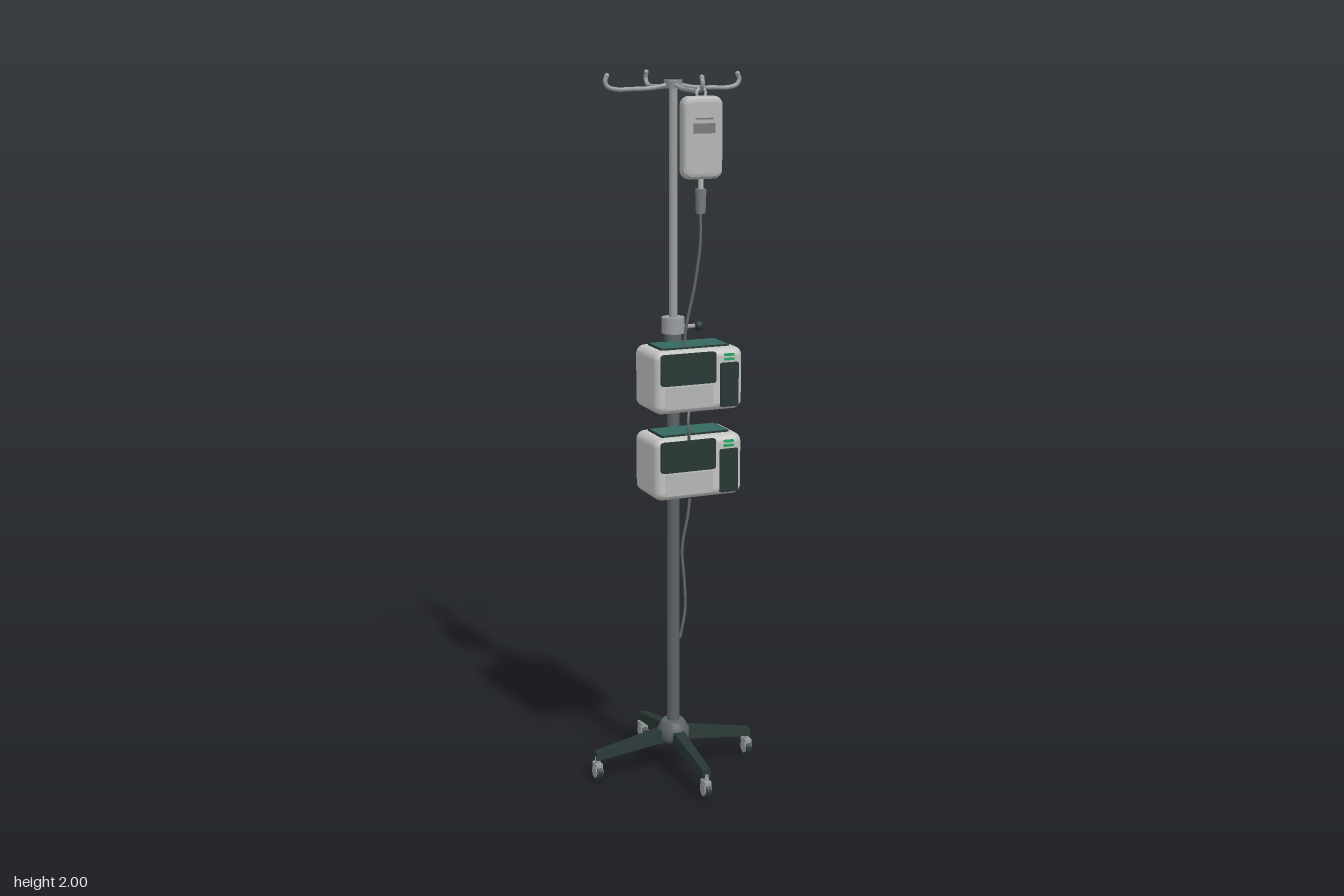
import * as THREE from 'three';
import { RoundedBoxGeometry } from 'three/addons/geometries/RoundedBoxGeometry.js';

const mat = (name, color, side = THREE.FrontSide) => {
  const m = new THREE.MeshStandardMaterial({ color, side });
  m.name = name;
  return m;
};

export function createModel() {
  const steel = mat('brushed steel', 0x9a9d9f);
  const poleGrey = mat('dark pole grey', 0x5c6265);
  const shell = mat('light casing', 0xc2c4c2);
  const bagGrey = mat('bag plastic', 0xb4b5b5);
  const dark = mat('dark plastic', 0x273634);
  const teal = mat('teal panel', 0x35695f);
  const green = mat('green light', 0x25a566);
  const labelGrey = mat('label grey', 0x777a7b);
  const hose = mat('hose grey', 0x66696a);

  const root = new THREE.Group();
  root.name = 'infusionStand';

  const add = (parent, name, geo, material, x = 0, y = 0, z = 0) => {
    const m = new THREE.Mesh(geo, material);
    m.name = name;
    m.position.set(x, y, z);
    parent.add(m);
    return m;
  };
  const group = (name, parent = root) => {
    const g = new THREE.Group();
    g.name = name;
    parent.add(g);
    return g;
  };
  const box = (w, h, d) => new THREE.BoxGeometry(w, h, d);
  const cyl = (r1, r2, h, n = 24) => new THREE.CylinderGeometry(r1, r2, h, n);
  const rbox = (w, h, d, r) => new RoundedBoxGeometry(w, h, d, 4, r);
  const tube = (pts, r, n = 40) => new THREE.TubeGeometry(
    new THREE.CatmullRomCurve3(pts.map(p => new THREE.Vector3(...p))), n, r, 10);

  // Thin plate with rounded corners, facing +z
  const plate = (w, h, r, t = 0.006) => {
    const s = new THREE.Shape(), a = w / 2, b = h / 2;
    s.moveTo(-a + r, -b);
    s.lineTo(a - r, -b); s.quadraticCurveTo(a, -b, a, -b + r);
    s.lineTo(a, b - r); s.quadraticCurveTo(a, b, a - r, b);
    s.lineTo(-a + r, b); s.quadraticCurveTo(-a, b, -a, b - r);
    s.lineTo(-a, -b + r); s.quadraticCurveTo(-a, -b, -a + r, -b);
    return t ? new THREE.ExtrudeGeometry(s, { depth: t, bevelEnabled: false, curveSegments: 5 }) : s;
  };

  // Telescopic pole with locking collar and knob
  add(root, 'lowerPole', cyl(0.018, 0.018, 1.17), poleGrey, 0, 0.705, 0);
  add(root, 'upperPole', cyl(0.0115, 0.0115, 0.69), steel, 0, 1.625, 0);
  add(root, 'collar', cyl(0.032, 0.032, 0.045), steel, 0, 1.312, 0);
  add(root, 'collarBase', cyl(0.024, 0.024, 0.02), poleGrey, 0, 1.28, 0);
  add(root, 'knobStem', cyl(0.006, 0.006, 0.05, 12), steel, 0.05, 1.305, 0).rotation.z = Math.PI / 2;
  add(root, 'knob', new THREE.SphereGeometry(0.014, 16, 12), dark, 0.077, 1.305, 0);

  // Four hanging hooks on a small hub
  add(root, 'hookHub', cyl(0.026, 0.02, 0.022), steel, 0, 1.968, 0);
  const hookPts = [[0.01, 1.968, 0], [0.06, 1.959, 0], [0.12, 1.957, 0], [0.165, 1.957, 0],
    [0.188, 1.964, 0], [0.196, 1.978, 0], [0.191, 1.993, 0]];
  for (let i = 0; i < 4; i++) {
    const h = group('hook');
    add(h, 'hookArm', tube(hookPts, 0.006), steel);
    add(h, 'hookTip', new THREE.SphereGeometry(0.007, 12, 8), steel, 0.191, 1.993, 0);
    h.rotation.y = i * Math.PI / 2;
  }

  // Wheeled base
  const hubProfile = [[0, 0.085], [0.034, 0.085], [0.046, 0.098], [0.046, 0.122], [0.036, 0.142], [0.03, 0.15], [0, 0.15]]
    .map(p => new THREE.Vector2(...p));
  add(root, 'baseHub', new THREE.LatheGeometry(hubProfile, 28), poleGrey);
  for (let i = 0; i < 4; i++) {
    const leg = group('leg');
    leg.rotation.y = i * Math.PI / 2;
    const g = box(1, 1, 1), p = g.attributes.position;
    // Taper and slope the leg outwards, with a narrower top
    for (let k = 0; k < p.count; k++) {
      const t = p.getX(k) + 0.5, up = p.getY(k) > 0;
      const w = THREE.MathUtils.lerp(0.042, 0.028, t) * (up ? 0.8 : 1);
      p.setXYZ(k, 0.025 + 0.217 * t,
        THREE.MathUtils.lerp(up ? 0.127 : 0.09, up ? 0.085 : 0.062, t), p.getZ(k) * w);
    }
    g.computeVertexNormals();
    add(leg, 'legBeam', g, dark);

    const a = i * Math.PI / 2, caster = group('caster');
    caster.position.set(Math.cos(a) * 0.236, 0, -Math.sin(a) * 0.236);
    add(caster, 'casterStem', cyl(0.008, 0.008, 0.03, 12), steel, 0, 0.057, 0);
    add(caster, 'casterFork', box(0.02, 0.012, 0.034), steel, 0, 0.046, 0);
    add(caster, 'tyre', cyl(0.024, 0.024, 0.016), dark, 0, 0.024, 0).rotation.z = Math.PI / 2;
    add(caster, 'wheelCap', cyl(0.018, 0.018, 0.022), steel, 0, 0.026, 0).rotation.z = Math.PI / 2;
  }

  // Two identical pumps clamped to the pole
  for (const y of [1.187, 0.947]) {
    const pump = group('pump');
    pump.position.y = y;
    add(pump, 'casing', rbox(0.258, 0.172, 0.162, 0.024), shell, 0, 0, 0.107);
    const rim = add(pump, 'topRim', plate(0.202, 0.1, 0.008, 0.006), dark, 0, 0.084, 0.106);
    const top = add(pump, 'topPanel', plate(0.192, 0.09, 0.006, 0.004), teal, 0, 0.0875, 0.106);
    rim.rotation.x = top.rotation.x = -Math.PI / 2;
    add(pump, 'screen', plate(0.162, 0.086, 0.01), dark, -0.035, 0.037, 0.186);
    add(pump, 'doorPanel', plate(0.142, 0.06, 0.006, 0.004), bagGrey, -0.033, -0.041, 0.186);
    add(pump, 'keypad', plate(0.054, 0.122, 0.006), dark, 0.085, -0.014, 0.186);
    for (const ly of [0.068, 0.056])
      add(pump, 'statusLight', plate(0.03, 0.007, 0.003, 0.005), green, 0.085, ly, 0.186);
    add(pump, 'clamp', rbox(0.07, 0.068, 0.062, 0.01), poleGrey, 0, 0.007, -0.004);
  }

  // Fluid bag with label, hanging loop and drip chamber
  const bag = group('fluidBag');
  bag.position.z = 0.186;
  const bagGeo = new THREE.ExtrudeGeometry(plate(0.084, 0.185, 0.01, 0), {
    depth: 0.016, bevelThickness: 0.013, bevelSize: 0.015, bevelSegments: 3, curveSegments: 5 });
  add(bag, 'bagBody', bagGeo, bagGrey, 0, 1.838, -0.008);
  add(bag, 'label', box(0.062, 0.026, 0.003), labelGrey, 0, 1.863, 0.021);
  add(bag, 'labelStripe', box(0.05, 0.004, 0.003), labelGrey, 0, 1.888, 0.021);
  add(bag, 'hangLoop', new THREE.TorusGeometry(0.013, 0.004, 8, 20), bagGrey, 0, 1.952, 0);
  add(bag, 'neck', cyl(0.007, 0.007, 0.04, 14), bagGrey, 0, 1.717, 0);
  add(bag, 'dripChamber', cyl(0.015, 0.013, 0.064, 18), labelGrey, 0, 1.672, 0);

  // Hoses from the bag, between the pumps and hanging below
  const z = 0.186;
  add(root, 'upperHose', tube([[0, 1.645, z], [0, 1.56, 0.184], [-0.012, 1.44, 0.172],
    [-0.028, 1.34, 0.158], [-0.032, 1.265, 0.148]], 0.004), hose);
  add(root, 'middleHose', tube([[-0.03, 1.105, 0.18], [-0.038, 1.085, 0.193],
    [-0.036, 1.05, 0.194], [-0.03, 1.02, 0.18]], 0.004), hose);
  add(root, 'lowerHose', tube([[-0.03, 0.865, 0.186], [-0.034, 0.82, 0.184], [-0.046, 0.72, 0.172],
    [-0.036, 0.62, 0.164], [-0.031, 0.54, 0.158], [-0.044, 0.455, 0.153]], 0.004), hose);

  return root;
}
